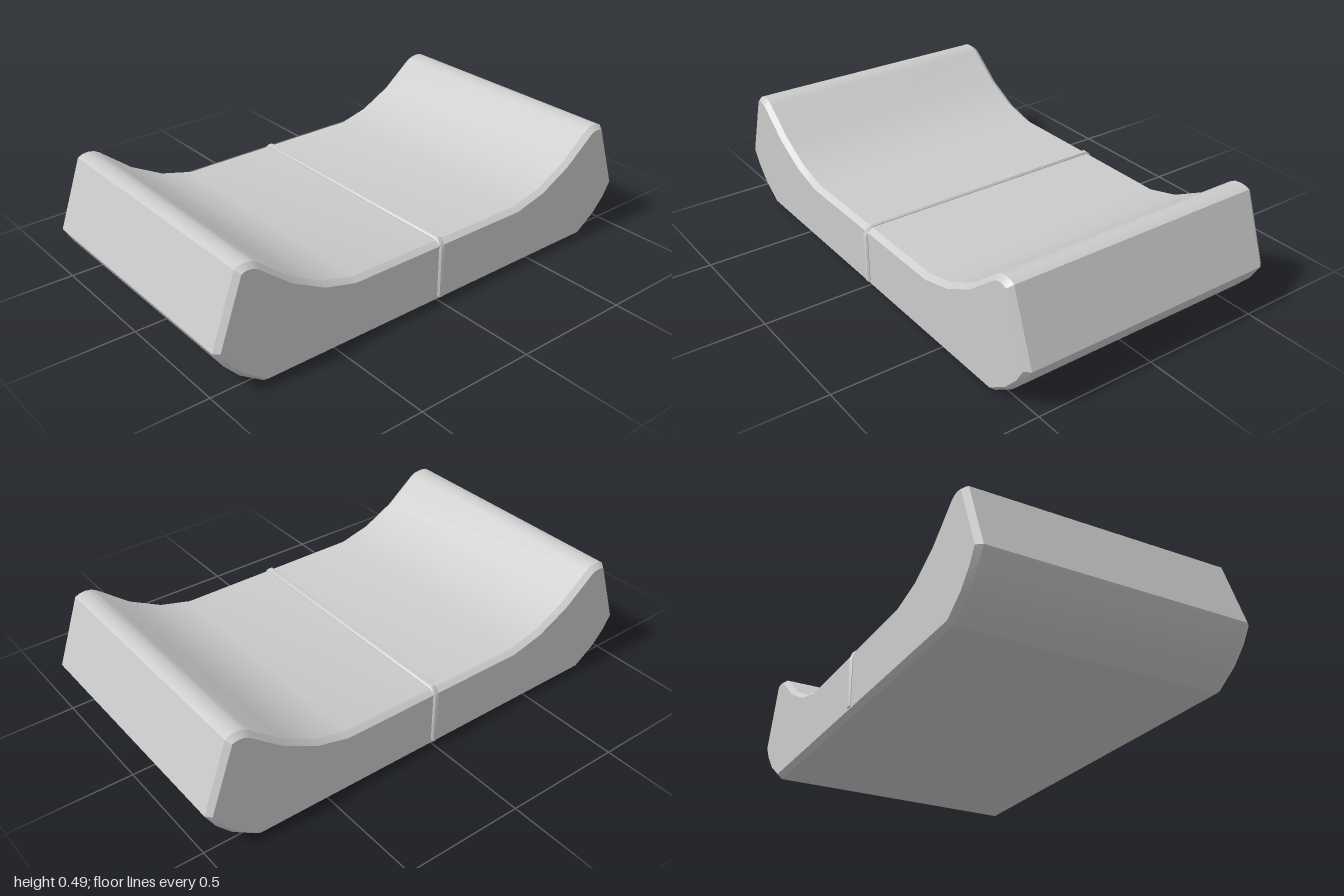
import * as THREE from 'three';
import { toCreasedNormals } from 'three/addons/utils/BufferGeometryUtils.js';

const CREASE = THREE.MathUtils.degToRad(30);

// Closed shape from its right half (listed bottom to top), mirrored to the left
function mirroredShape(half) {
  const left = half.map(([a, y]) => [-a, y]).reverse();
  return new THREE.Shape([...half, ...left].map(([a, y]) => new THREE.Vector2(a, y)));
}

// Chamfered slab, centred on its own depth, whose outline is the given shape
function chamferedSlab(shape, depth, chamferDepth, inset) {
  const core = depth - 2 * chamferDepth;
  const geometry = new THREE.ExtrudeGeometry(shape, {
    depth: core,
    bevelEnabled: true,
    bevelThickness: chamferDepth,
    bevelSize: inset,
    bevelOffset: -inset,
    bevelSegments: 1,
  });
  geometry.translate(0, 0, -core / 2);
  return toCreasedNormals(geometry, CREASE);
}

export function createModel() {
  const group = new THREE.Group();
  group.name = 'curvedCradle';
  const material = new THREE.MeshStandardMaterial({ color: 0xcccccc });

  const add = (name, geometry) => {
    const mesh = new THREE.Mesh(geometry, material);
    mesh.name = name;
    group.add(mesh);
  };

  // Body: side profile (z, y) with raised ends and a dished top
  const body = chamferedSlab(mirroredShape([
    [0.805, 0], [0.9, 0.065], [0.96, 0.13], [1, 0.197],
    [0.9, 0.476], [0.882, 0.485], [0.858, 0.488], [0.832, 0.484], [0.81, 0.472],
    [0.68, 0.368], [0.545, 0.297], [0.41, 0.262],
  ]), 1.11, 0.022, 0.017);
  body.rotateY(-Math.PI / 2);
  add('body', body);

  // Thin raised seam wrapping over the top and down both sides
  add('centreSeam', chamferedSlab(mirroredShape([
    [0.563, 0.023], [0.563, 0.228], [0.553, 0.255], [0.534, 0.271],
  ]), 0.027, 0.006, 0.006));

  return group;
}
